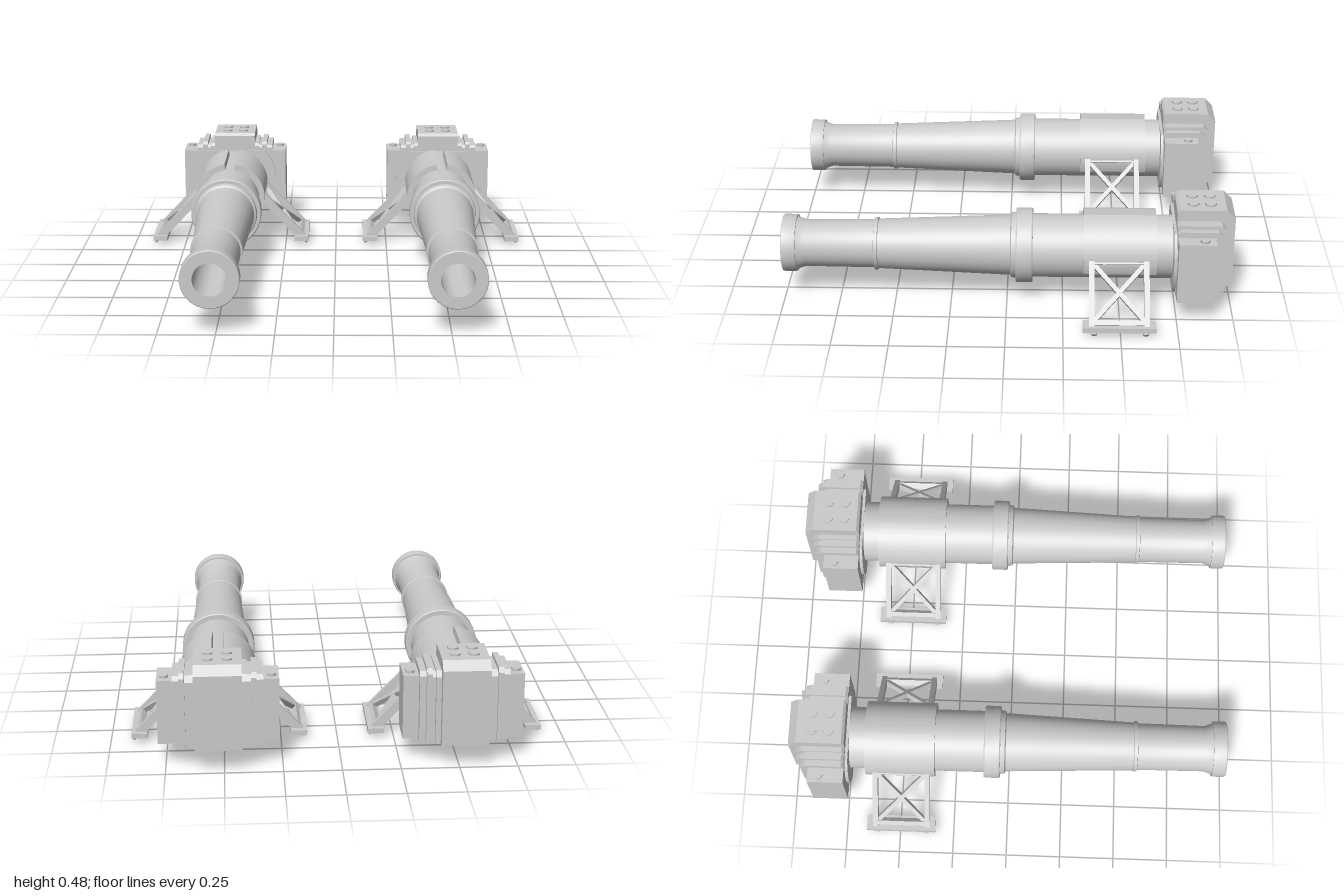
import * as THREE from 'three';
import { toCreasedNormals } from 'three/addons/utils/BufferGeometryUtils.js';

const AXIS = 0.245; // height of the bore axis
const material = new THREE.MeshStandardMaterial({ color: 0xcccccc });

function add(parent, geometry, name, x = 0, y = 0, z = 0) {
  const mesh = new THREE.Mesh(geometry, material);
  mesh.name = name;
  mesh.position.set(x, y, z);
  parent.add(mesh);
  return mesh;
}

const box = (w, h, d) => new THREE.BoxGeometry(w, h, d);
const creased = (g) => toCreasedNormals(g, 0.5);

// Barrel with collar, taper, muzzle ring and bore, as [radius, z]
function addBarrel(parent) {
  const profile = [
    [0, -0.76], [0.142, -0.76], [0.142, -0.115], [0.163, -0.115], [0.167, -0.11],
    [0.167, -0.045], [0.163, -0.04], [0.148, -0.04], [0.145, -0.02], [0.135, -0.015],
    [0.111, 0.573], [0.117, 0.575], [0.117, 0.59], [0.108, 0.592],
    [0.105, 0.9], [0.118, 0.937], [0.126, 0.937], [0.128, 0.942], [0.128, 0.997],
    [0.125, 1], [0.073, 1], [0.073, 0.2], [0, 0.2],
  ].map(([r, z]) => new THREE.Vector2(r, z));
  const geometry = new THREE.LatheGeometry(profile, 48);
  geometry.rotateX(Math.PI / 2);
  add(parent, creased(geometry), 'barrel', 0, AXIS, 0);
}

// Curved saddle panel on one side, leaving a slot along the top
function addSaddle(parent, side) {
  const low = THREE.MathUtils.degToRad(side > 0 ? -20 : 99);
  const high = THREE.MathUtils.degToRad(side > 0 ? 81 : 200);
  const shape = new THREE.Shape();
  shape.absarc(0, 0, 0.17, low, high, false);
  shape.absarc(0, 0, 0.136, high, low, true);
  const geometry = new THREE.ExtrudeGeometry(shape, { depth: 0.32, bevelEnabled: false, curveSegments: 20 });
  add(parent, creased(geometry), 'saddlePanel', 0, AXIS, -0.66);
}

// Slanted cross-braced support; its local x runs down the slope
function addSupport(parent, side) {
  const support = new THREE.Group();
  support.name = 'support';
  const truss = new THREE.Group();
  truss.name = 'truss';
  truss.position.set(0.14, 0.262, -0.495);
  truss.rotation.z = -0.81;
  support.add(truss);

  const beam = (x0, z0, x1, z1, width, thick, name) => {
    const dx = x1 - x0, dz = z1 - z0;
    const mesh = add(truss, box(Math.hypot(dx, dz), thick, width), name, (x0 + x1) / 2, 0, (z0 + z1) / 2);
    mesh.rotation.y = -Math.atan2(dz, dx);
  };
  for (const s of [-1, 1]) {
    beam(0, s * 0.12, 0.315, s * 0.12, 0.024, 0.038, 'post');
    beam(0.03, -s * 0.115, 0.295, s * 0.115, 0.02, 0.022, 'crossBrace');
  }
  beam(0.025, -0.12, 0.025, 0.12, 0.022, 0.03, 'topRail');
  beam(0.297, -0.12, 0.297, 0.12, 0.022, 0.03, 'bottomRail');

  // Foot plate and its slanted anchor bolts
  add(support, box(0.07, 0.022, 0.32), 'footPlate', 0.351, 0.034, -0.495);
  for (const z of [-0.61, -0.385]) {
    const bolt = add(support, new THREE.CylinderGeometry(0.013, 0.013, 0.03, 6), 'anchorBolt', 0.372, 0.02, z);
    bolt.rotation.z = 0.81;
  }
  if (side < 0) support.rotation.y = Math.PI;
  if (side < 0) support.position.z = -0.99;
  parent.add(support);
}

// Block with a chamfered upper rear edge, spanning x0..x1
function addSlab(parent, name, x0, x1, top, back, chamfer) {
  const front = 0.745, bottom = 0.103;
  const shape = new THREE.Shape([
    [front, bottom], [back, bottom], [back, top - chamfer],
    [back - chamfer, top], [front + 0.012, top], [front, top - 0.012],
  ].map(([a, y]) => new THREE.Vector2(a, y)));
  const geometry = new THREE.ExtrudeGeometry(shape, { depth: x1 - x0, bevelEnabled: false });
  geometry.rotateY(Math.PI / 2);
  add(parent, geometry, name, x0, 0, 0);
}

function addBreech(parent) {
  const breech = new THREE.Group();
  breech.name = 'breech';
  parent.add(breech);

  // Nested housing layers, growing taller and deeper toward the middle
  addSlab(breech, 'breechCore', -0.102, 0.102, 0.476, 1.0, 0.038);
  addSlab(breech, 'breechInnerLayer', -0.125, 0.125, 0.424, 0.965, 0.025);
  addSlab(breech, 'breechMiddleLayer', -0.145, 0.145, 0.412, 0.945, 0.02);
  addSlab(breech, 'breechOuterLayer', -0.192, 0.192, 0.415, 0.94, 0.018);
  for (const s of [-1, 1]) {
    const c = s * 0.152;
    addSlab(breech, 'breechRib', c - 0.012, c + 0.012, 0.432, 0.958, 0.02);
    // Side blocks with a bolt on top
    add(breech, box(0.075, 0.285, 0.163), 'sideBlock', s * 0.222, 0.2455, -0.8275);
    add(breech, new THREE.CylinderGeometry(0.021, 0.021, 0.012, 6), 'sideBolt', s * 0.228, 0.393, -0.86);
    for (const z of [-0.895, -0.818]) {
      add(breech, new THREE.CylinderGeometry(0.026, 0.026, 0.01, 6), 'topBolt', s * 0.041, 0.479, z);
    }
  }

  // Front flange: a disc cut flat at top and bottom
  const a = Math.asin(0.142 / 0.21);
  const shape = new THREE.Shape();
  shape.absarc(0, 0, 0.21, -a, a, false);
  shape.absarc(0, 0, 0.21, Math.PI - a, Math.PI + a, false);
  const flange = new THREE.ExtrudeGeometry(shape, { depth: 0.018, bevelEnabled: false, curveSegments: 16 });
  add(breech, creased(flange), 'frontFlange', 0, AXIS, -0.75);
}

export function createModel() {
  const model = new THREE.Group();
  model.name = 'twinCannons';
  for (const side of [-1, 1]) {
    const cannon = new THREE.Group();
    cannon.name = side > 0 ? 'leftCannon' : 'rightCannon';
    cannon.position.x = side * 0.522;
    addBarrel(cannon);
    addBreech(cannon);
    for (const s of [-1, 1]) {
      addSaddle(cannon, s);
      addSupport(cannon, s);
    }
    model.add(cannon);
  }
  return model;
}
